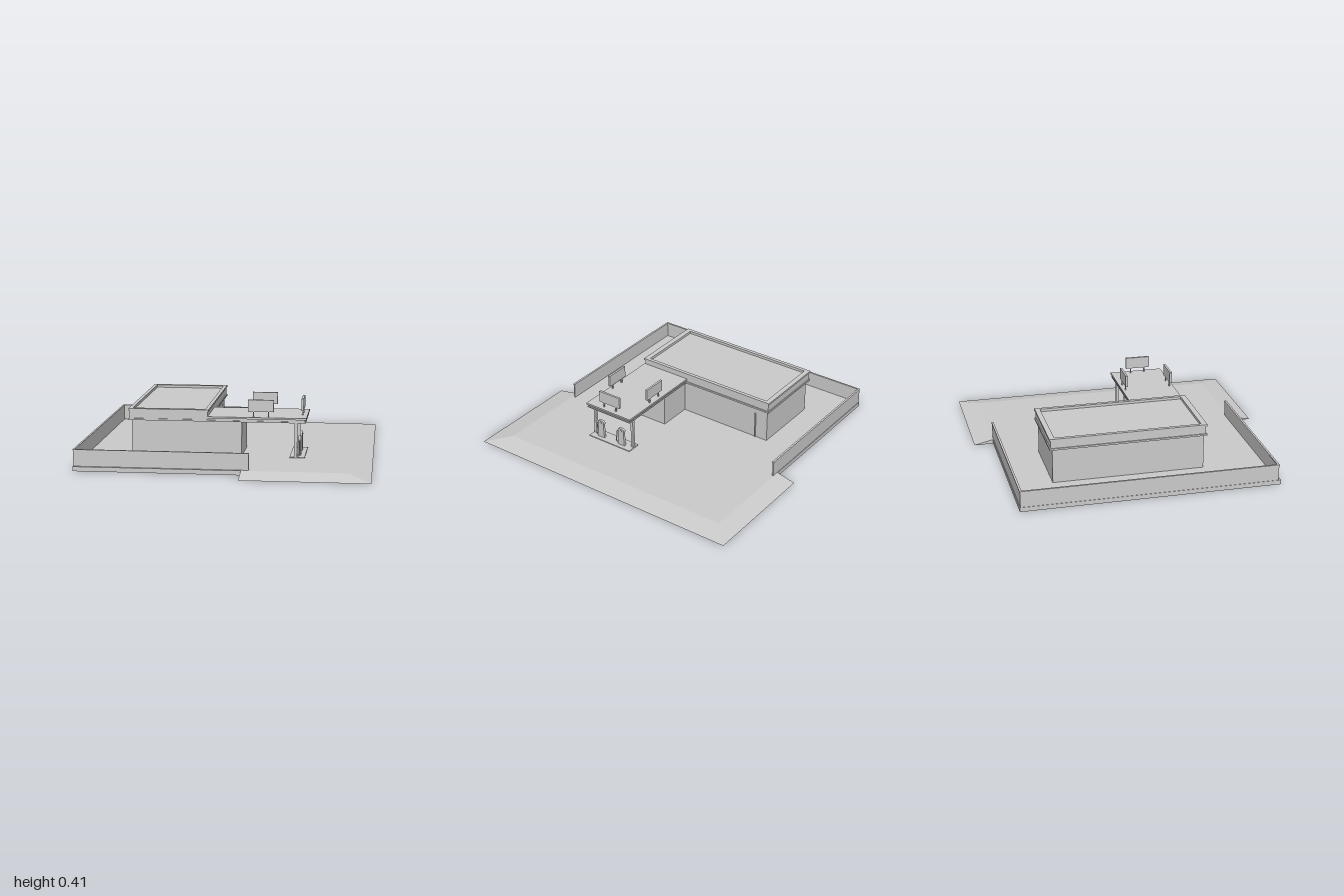
import * as THREE from 'three';

const grey = new THREE.MeshStandardMaterial({ color: 0xcccccc, flatShading: true, side: THREE.DoubleSide });

// Box given by its lower and upper limits on each axis
function block(parent, name, x0, x1, y0, y1, z0, z1) {
  const mesh = new THREE.Mesh(new THREE.BoxGeometry(x1 - x0, y1 - y0, z1 - z0), grey);
  mesh.position.set((x0 + x1) / 2, (y0 + y1) / 2, (z0 + z1) / 2);
  mesh.name = name;
  parent.add(mesh);
  return mesh;
}

function group(parent, name) {
  const g = new THREE.Group();
  g.name = name;
  parent.add(g);
  return g;
}

// Paved lot: flat top with ramps on three sides of the right part
function makeLot() {
  const h = 0.03, zb = -0.87, zf = 0.85;
  const p = [
    [-0.96, h, zb], [-0.96, h, zf], [0.82, h, zf], [0.82, h, zb],   // top
    [0.13, h, zb], [0.13, h, zf],                                   // ramp starts
    [0.13, 0, -1], [0.96, 0, -1], [0.96, 0, 1], [0.13, 0, 1],       // ramp feet
    [-0.96, 0, zb], [-0.96, 0, zf], [0.13, 0, zb], [0.13, 0, zf],   // slab feet
  ];
  const quads = [
    [0, 1, 5, 4], [4, 5, 2, 3],
    [5, 9, 8, 2], [2, 8, 7, 3], [3, 7, 6, 4],
    [0, 10, 11, 1], [1, 11, 13, 5], [4, 12, 10, 0],
    [10, 12, 13, 11], [6, 7, 8, 9],
  ];
  const pos = [];
  const tri = (a, b, c) => pos.push(...p[a], ...p[b], ...p[c]);
  for (const [a, b, c, d] of quads) { tri(a, b, c); tri(a, c, d); }
  tri(5, 13, 9);
  tri(4, 6, 12);
  const geo = new THREE.BufferGeometry();
  geo.setAttribute('position', new THREE.Float32BufferAttribute(pos, 3));
  geo.computeVertexNormals();
  const mesh = new THREE.Mesh(geo, grey);
  mesh.name = 'pavedLot';
  return mesh;
}

// Rectangular ring, y0 to y1, open in the middle
function ring(parent, name, [x0, x1, z0, z1], [a0, a1, b0, b1], y0, y1) {
  const rect = (C, l, r, b, f) => {
    const s = new C();
    s.moveTo(l, -f); s.lineTo(r, -f); s.lineTo(r, -b); s.lineTo(l, -b); s.closePath();
    return s;
  };
  const shape = rect(THREE.Shape, x0, x1, z0, z1);
  shape.holes.push(rect(THREE.Path, a0, a1, b0, b1));
  const geo = new THREE.ExtrudeGeometry(shape, { depth: y1 - y0, bevelEnabled: false });
  geo.rotateX(-Math.PI / 2).translate(0, y0, 0);
  const mesh = new THREE.Mesh(geo, grey);
  mesh.name = name;
  parent.add(mesh);
}

// Fuel pump: tapered body with rounded head, display and hose
function makePump(parent, x, z) {
  const pump = group(parent, 'fuelPump');
  const s = new THREE.Shape();
  s.moveTo(-0.028, 0); s.lineTo(0.028, 0); s.lineTo(0.022, 0.085); s.lineTo(0.026, 0.118);
  s.quadraticCurveTo(0.024, 0.13, 0, 0.13);
  s.quadraticCurveTo(-0.024, 0.13, -0.026, 0.118); s.lineTo(-0.022, 0.085); s.closePath();
  const geo = new THREE.ExtrudeGeometry(s, { depth: 0.018, bevelEnabled: false, curveSegments: 4 });
  geo.translate(0, 0, -0.009).rotateY(Math.PI / 2);
  const body = new THREE.Mesh(geo, grey);
  body.name = 'pumpBody';
  pump.add(body);
  const dial = new THREE.Mesh(new THREE.CylinderGeometry(0.009, 0.009, 0.022, 12), grey);
  dial.rotation.z = Math.PI / 2;
  dial.position.y = 0.11;
  dial.name = 'pumpDial';
  pump.add(dial);
  const path = new THREE.CatmullRomCurve3([
    [0, 0.1, 0.024], [0, 0.1, 0.036], [0, 0.06, 0.042], [0, 0.015, 0.045], [0, 0.01, 0.034], [0, 0.05, 0.026],
  ].map(v => new THREE.Vector3(...v)));
  const hose = new THREE.Mesh(new THREE.TubeGeometry(path, 16, 0.003, 6), grey);
  hose.name = 'pumpHose';
  pump.add(hose);
  pump.position.set(x, 0.035, z);
}

// Roof sign: board on two posts, running along x
function makeSign(parent, x, z, turn) {
  const sign = group(parent, 'roofSign');
  block(sign, 'signBoard', -0.085, 0.085, 0.035, 0.115, -0.0075, 0.0075);
  for (const s of [-0.05, 0.05]) block(sign, 'signPost', s - 0.004, s + 0.004, 0, 0.035, -0.004, 0.004);
  sign.position.set(x, 0.298, z);
  if (turn) sign.rotation.y = Math.PI / 2;
}

export function createModel() {
  const model = new THREE.Group();
  model.name = 'fuelStation';
  model.add(makeLot());

  // Low boundary walls with caps
  const walls = group(model, 'boundaryWalls');
  for (const [x0, x1, z0, z1] of [
    [-0.957, 0.18, -0.866, -0.858], [-0.957, 0.18, 0.826, 0.834], [-0.957, -0.949, -0.866, 0.834],
  ]) {
    block(walls, 'wall', x0, x1, 0.03, 0.132, z0, z1);
    block(walls, 'wallCap', x0 - 0.003, x1 + 0.002, 0.132, 0.14, z0 - 0.003, z1 + 0.003);
  }

  // Building with a front room under the canopy
  const building = group(model, 'building');
  block(building, 'mainHall', -0.65, -0.15, 0.03, 0.27, -0.6, 0.415);
  block(building, 'frontRoom', -0.15, 0.09, 0.03, 0.27, 0.09, 0.415);
  block(building, 'doorPost', -0.15, -0.142, 0.03, 0.22, -0.51, -0.503);

  // Flat roof with banded parapet
  const roof = group(model, 'roof');
  const inner = [-0.645, -0.155, -0.585, 0.395];
  block(roof, 'roofDeck', -0.65, -0.15, 0.265, 0.325, -0.6, 0.415);
  ring(roof, 'lowerBand', [-0.67, -0.13, -0.62, 0.432], inner, 0.265, 0.277);
  ring(roof, 'parapet', [-0.663, -0.137, -0.613, 0.425], inner, 0.277, 0.33);
  ring(roof, 'upperBand', [-0.67, -0.13, -0.62, 0.432], inner, 0.33, 0.343);

  // Canopy, columns and pump island
  const canopy = group(model, 'canopy');
  block(canopy, 'canopyLowerBand', -0.14, 0.515, 0.264, 0.273, 0.067, 0.427);
  block(canopy, 'canopyCore', -0.14, 0.51, 0.273, 0.286, 0.072, 0.422);
  block(canopy, 'canopyUpperBand', -0.14, 0.52, 0.286, 0.298, 0.062, 0.432);
  for (const z of [0.093, 0.412]) block(canopy, 'column', 0.44, 0.46, 0.03, 0.266, z - 0.009, z + 0.009);
  block(model, 'pumpIsland', 0.41, 0.51, 0.03, 0.036, 0.08, 0.425);
  for (const z of [0.345, 0.172]) makePump(model, 0.472, z);

  makeSign(model, 0.217, 0.405);
  makeSign(model, 0.217, 0.086);
  makeSign(model, 0.488, 0.252, true);
  return model;
}
